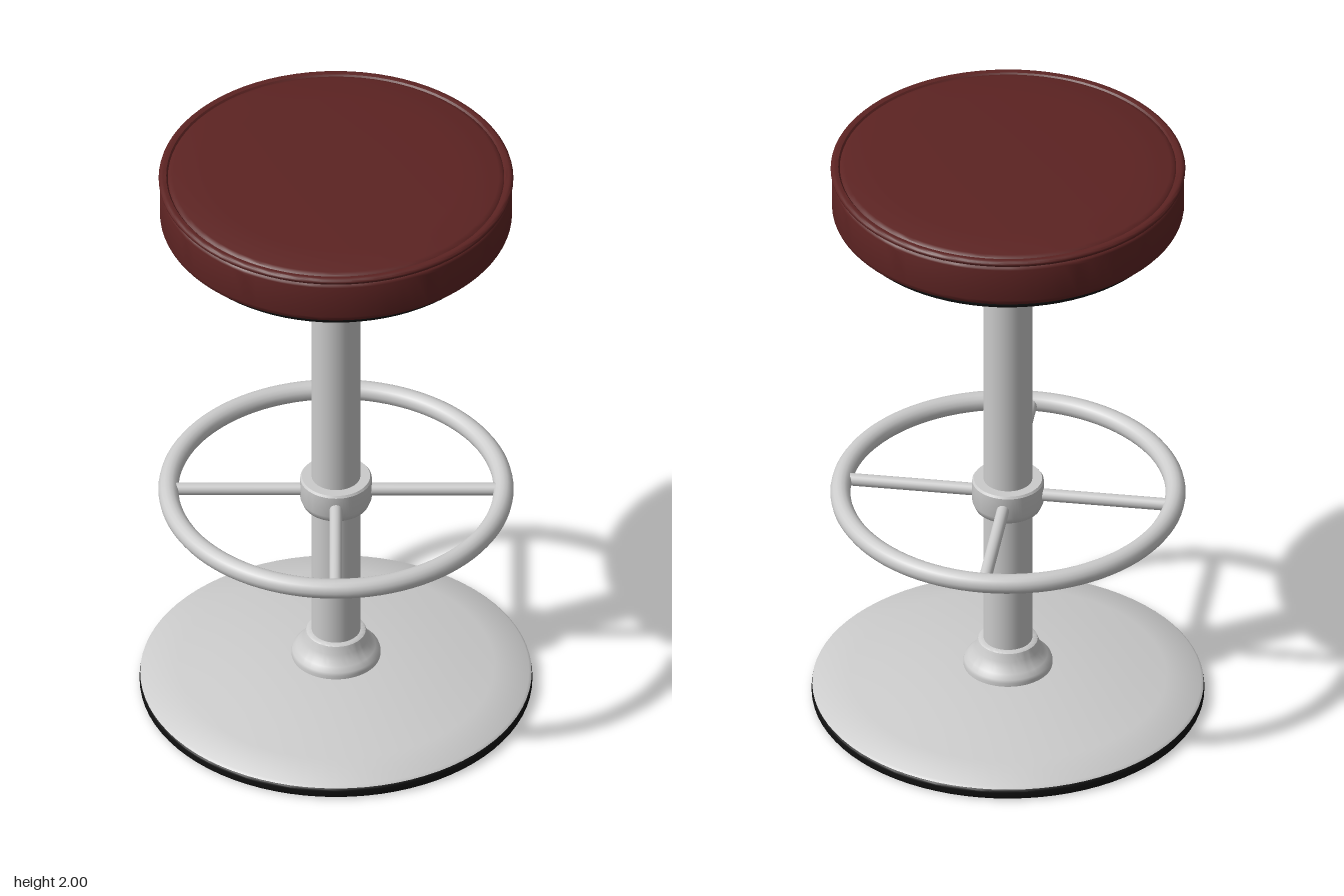
import * as THREE from 'three';
import { toCreasedNormals } from 'three/addons/utils/BufferGeometryUtils.js';

const material = (color) => new THREE.MeshStandardMaterial({ color });

// Revolve a [radius, height] profile (bottom to top), keeping sharp edges crisp
function lathe(name, profile, mat) {
  const points = profile.map(([r, y]) => new THREE.Vector2(r, y));
  const geometry = toCreasedNormals(new THREE.LatheGeometry(points, 80), 0.6);
  const mesh = new THREE.Mesh(geometry, mat);
  mesh.name = name;
  return mesh;
}

// Points of an arc in the profile plane, from angle a to angle b in degrees
function arc(cx, cy, rx, ry, a, b, n = 6) {
  return Array.from({ length: n + 1 }, (_, i) => {
    const t = THREE.MathUtils.degToRad(a + ((b - a) * i) / n);
    return [cx + rx * Math.cos(t), cy + ry * Math.sin(t)];
  });
}

export function createModel() {
  const metal = material(0xcccccc);
  const rubber = material(0x111111);
  const leather = material(0x5c2322);
  const stool = new THREE.Group();
  stool.name = 'barStool';

  // Base: rubber rim, underside plate and shallow metal dome
  stool.add(lathe('baseRim', [
    [0.515, 0.03], [0.515, 0],
    ...arc(0.608, 0.012, 0.012, 0.012, -90, 0, 4),
    ...arc(0.608, 0.026, 0.012, 0.012, 0, 90, 4), [0.515, 0.038],
  ], rubber));
  stool.add(lathe('baseDome', [
    [0, 0.004], [0.52, 0.004], [0.52, 0.034], [0.61, 0.034], [0.618, 0.038], [0.61, 0.045],
    [0.5, 0.066], [0.4, 0.084], [0.3, 0.098], [0.2, 0.109], [0.1, 0.115], [0, 0.115],
  ], metal));

  // Flared collar where the column meets the base
  stool.add(lathe('columnCollar', [
    [0.14, 0.105], [0.141, 0.125], [0.138, 0.135], [0.125, 0.148], [0.112, 0.163],
    [0.103, 0.18], [0.097, 0.198], [0.094, 0.206], [0.088, 0.21], [0.07, 0.21],
  ], metal));

  // Column
  const column = new THREE.Mesh(new THREE.CylinderGeometry(0.077, 0.077, 1.64, 48), metal);
  column.name = 'column';
  column.position.y = 0.92;
  stool.add(column);

  // Footrest: hub, ring and four diagonal spokes
  const footrest = new THREE.Group();
  footrest.name = 'footrest';
  footrest.position.y = 0.757;
  footrest.add(lathe('footrestHub', [
    [0.07, -0.055], [0.098, -0.055], [0.104, -0.05], [0.113, -0.028],
    [0.113, 0.045], [0.108, 0.052], [0.07, 0.052],
  ], metal));
  const ring = new THREE.Mesh(new THREE.TorusGeometry(0.529, 0.032, 16, 96), metal);
  ring.name = 'footrestRing';
  ring.rotation.x = Math.PI / 2;
  footrest.add(ring);
  for (let i = 0; i < 4; i++) {
    const arm = new THREE.Group();
    arm.name = 'spokeArm';
    arm.rotation.y = Math.PI / 4 + (i * Math.PI) / 2;
    const spoke = new THREE.Mesh(new THREE.CylinderGeometry(0.02, 0.02, 0.43, 20), metal);
    spoke.name = 'spoke';
    spoke.rotation.z = Math.PI / 2;
    spoke.position.x = 0.305;
    arm.add(spoke);
    footrest.add(arm);
  }
  stool.add(footrest);

  // Dark mounting cone and round plate under the seat
  stool.add(lathe('seatMount', [
    [0, 1.715], [0.23, 1.715], [0.245, 1.722], [0.305, 1.758], [0.31, 1.768], [0.31, 1.79],
  ], rubber));
  stool.add(lathe('seatPlate', [
    [0, 1.785], ...arc(0.5, 1.803, 0.018, 0.018, -90, 90, 8), [0, 1.821],
  ], rubber));

  // Cushion: rounded side, piping bead between two seams, slightly crowned top
  stool.add(lathe('seatCushion', [
    [0, 1.818], [0.53, 1.818],
    ...arc(0.53, 1.843, 0.026, 0.025, -90, 0),
    ...arc(0.541, 1.95, 0.015, 0.018, 0, 80, 4),
    ...arc(0.546, 1.979, 0.014, 0.011, -90, 90, 8),
    [0.536, 1.988], [0.531, 1.982], [0.526, 1.987],
    [0.515, 1.99], [0.4, 1.995], [0.2, 1.999], [0, 2],
  ], leather));

  return stool;
}
